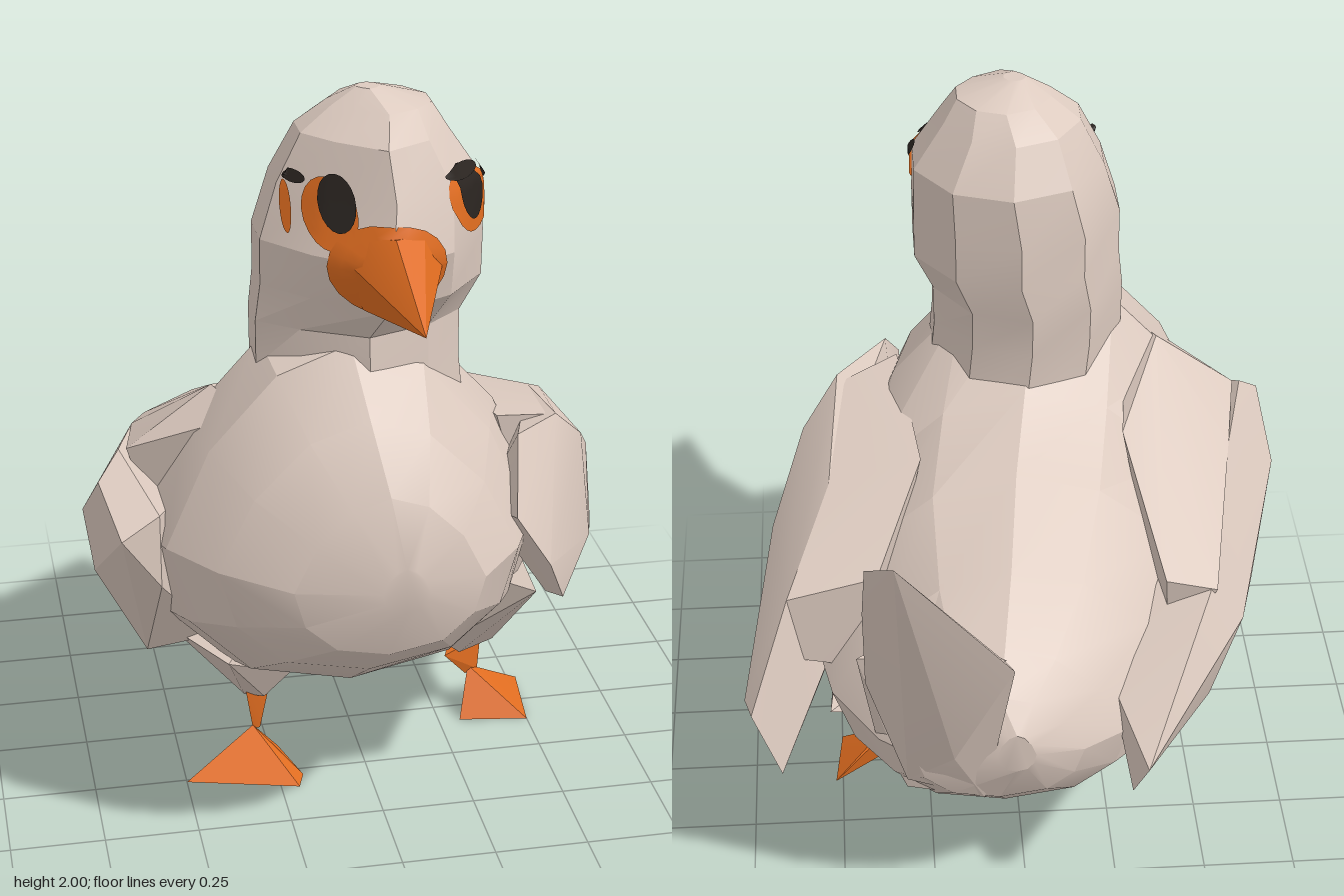
import * as THREE from 'three';
import { toCreasedNormals } from 'three/addons/utils/BufferGeometryUtils.js';
import { ConvexGeometry } from 'three/addons/geometries/ConvexGeometry.js';

const material = (name, color) => {
  const m = new THREE.MeshStandardMaterial({ color, side: THREE.DoubleSide });
  m.name = name;
  return m;
};

// Closed skin over a list of equal-length rings, turned so that it faces outwards
function loft(rings, crease) {
  const n = rings[0].length, pts = rings.flat(), idx = [];
  for (let r = 0; r < rings.length - 1; r++) {
    for (let i = 0; i < n; i++) {
      const a = r * n + i, b = r * n + (i + 1) % n;
      idx.push(a, b, b + n, a, b + n, a + n);
    }
  }
  const last = (rings.length - 1) * n;
  for (let i = 1; i < n - 1; i++) {
    idx.push(0, i + 1, i, last, last + i, last + i + 1);
  }
  let volume = 0;
  const cross = new THREE.Vector3();
  for (let i = 0; i < idx.length; i += 3) {
    volume += pts[idx[i]].dot(cross.crossVectors(pts[idx[i + 1]], pts[idx[i + 2]]));
  }
  if (volume < 0) idx.reverse();
  const g = new THREE.BufferGeometry().setFromPoints(pts);
  g.setIndex(idx);
  return toCreasedNormals(g, crease);
}

const hull = (pts) => toCreasedNormals(
  new ConvexGeometry(pts.map((p) => new THREE.Vector3(...p))), 0.35);

const ringOf = (n, f) => Array.from({ length: n }, (_, i) => f(i / n * Math.PI * 2));

export function createModel() {
  const duck = new THREE.Group();
  duck.name = 'duck';
  const feather = material('feather', 0xdccabf);
  const orange = material('orange', 0xdf6c20);
  const dark = material('dark', 0x2a2420);

  const add = (name, geometry, mat) => {
    const mesh = new THREE.Mesh(geometry, mat);
    mesh.name = name;
    duck.add(mesh);
    return mesh;
  };

  // Body: egg sections from chest to rump [z, centre x, half width, bottom, top]
  const body = [
    [0.86, -0.02, 0.06, 0.8, 0.92], [0.81, -0.05, 0.24, 0.66, 1.09],
    [0.7, -0.08, 0.38, 0.56, 1.25], [0.55, -0.1, 0.47, 0.45, 1.39],
    [0.35, -0.09, 0.53, 0.36, 1.42], [0.12, -0.04, 0.57, 0.29, 1.2],
    [-0.12, 0, 0.57, 0.26, 1.09], [-0.38, 0.03, 0.48, 0.27, 0.97],
    [-0.58, 0.06, 0.33, 0.36, 0.87], [-0.68, 0.08, 0.22, 0.46, 0.8],
    [-0.74, 0.04, 0.05, 0.6, 0.72],
  ].map(([z, cx, hw, lo, hi]) => ringOf(12, (t) => {
    const mid = lo + (hi - lo) * 0.45, c = Math.cos(t), s = Math.sin(t);
    const side = c > 0 ? s * (1 - 0.25 * c) : Math.sign(s) * Math.pow(Math.abs(s), 0.85);
    return new THREE.Vector3(cx + hw * side, mid + c * (c > 0 ? hi - mid : mid - lo), z);
  }));
  add('body', loft(body, 0.38), feather);

  // Neck and head: wedge-fronted sections [y, centre x, half width, back z, front z]
  const head = [
    [1.1, -0.04, 0.27, 0.12, 0.6], [1.3, -0.06, 0.27, 0.13, 0.6],
    [1.42, -0.06, 0.27, 0.11, 0.59], [1.52, -0.03, 0.29, 0.11, 0.68],
    [1.64, -0.03, 0.29, 0.11, 0.72], [1.78, -0.01, 0.265, 0.12, 0.66],
    [1.9, -0.02, 0.19, 0.19, 0.61], [1.96, 0, 0.13, 0.26, 0.52],
    [2.0, -0.03, 0.03, 0.37, 0.43],
  ].map(([y, cx, hw, back, front]) => ringOf(10, (t) => {
    const c = Math.cos(t), s = Math.sin(t), sharp = s > 0 ? 0.3 : 0.65;
    const wedge = c > 0 ? c * (1 - sharp) + (1 - Math.abs(s)) * sharp : c;
    return new THREE.Vector3(cx + hw * s, y,
      0.4 + wedge * (c > 0 ? front - 0.4 : 0.4 - back));
  }));
  const headMesh = add('head', loft(head, 0.3), feather);

  // Beak
  add('beak', hull([
    [0.01, 1.54, 0.9], [-0.02, 1.71, 0.7], [-0.08, 1.7, 0.65], [0.06, 1.7, 0.65],
    [-0.13, 1.64, 0.62], [0.11, 1.62, 0.63], [-0.09, 1.52, 0.65],
    [0.08, 1.5, 0.65], [0, 1.49, 0.7], [0, 1.63, 0.79],
  ]), orange);

  // Colour patches: ellipses laid onto the head along one axis (u = z or x)
  const ray = new THREE.Raycaster();
  function patch(name, mat, fromSide, u, y, ru, ry, lift) {
    const g = new THREE.RingGeometry(0.001, 1, 20, 5);
    g.scale(ru, ry, 1);
    const p = g.attributes.position;
    const dir = fromSide ? new THREE.Vector3(-1, 0, 0) : new THREE.Vector3(0, 0, -1);
    for (let i = 0; i < p.count; i++) {
      const a = u + (fromSide ? -p.getX(i) : p.getX(i)), b = y + p.getY(i);
      ray.set(fromSide ? new THREE.Vector3(2, b, a) : new THREE.Vector3(a, b, 2), dir);
      const hit = ray.intersectObject(headMesh)[0];
      const q = hit ? hit.point : new THREE.Vector3(fromSide ? 0.2 : a, b, fromSide ? a : 0.45);
      q.addScaledVector(dir, -lift);
      p.setXYZ(i, q.x, q.y, q.z);
    }
    g.computeVertexNormals();
    add(name, g, mat);
  }
  patch('beakBase', orange, false, -0.025, 1.62, 0.145, 0.115, 0.008);
  patch('leftEyeRing', orange, true, 0.522, 1.742, 0.076, 0.085, 0.007);
  patch('leftEye', dark, true, 0.525, 1.76, 0.045, 0.072, 0.011);
  patch('leftLash', dark, true, 0.525, 1.813, 0.055, 0.018, 0.014);
  patch('leftEyeCorner', dark, true, 0.425, 1.785, 0.03, 0.022, 0.011);
  patch('rightEyeRing', orange, false, -0.155, 1.74, 0.06, 0.083, 0.008);
  patch('rightEye', dark, false, -0.14, 1.768, 0.041, 0.066, 0.014);
  patch('rightEyeEdge', orange, false, -0.248, 1.735, 0.012, 0.06, 0.01);
  patch('rightEyeCorner', dark, false, -0.228, 1.808, 0.025, 0.015, 0.014);

  // Left wing, flaring from the shoulder, and the back feathers that join it
  add('leftWing', hull([
    [0.29, 0.96, 0.72], [0.38, 0.82, 0.72], [0.33, 1.11, 0.55], [0.47, 1.09, 0.4],
    [0.57, 0.98, 0.3], [0.66, 0.83, 0.05], [0.5, 1.0, 0], [0.62, 0.85, -0.31],
    [0.72, 0.66, -0.55], [0.74, 0.64, -0.46], [0.65, 0.43, -0.52], [0.55, 0.43, -0.15],
    [0.5, 0.5, 0.15], [0.46, 0.57, 0.4], [0.45, 0.66, 0.6], [0.68, 0.6, 0.05],
    [0.58, 0.72, 0.38], [0.3, 0.8, 0.3],
  ]), feather);
  add('leftShoulder', hull([
    [0.3, 1.12, 0.45], [0.46, 1.08, 0.38], [0.5, 1.0, 0], [0.62, 0.85, -0.31],
    [0.38, 0.91, -0.31], [0.25, 1.07, 0], [0.4, 0.6, -0.3], [0.6, 0.65, -0.31],
    [0.45, 0.65, 0.3],
  ]), feather);

  // Right wing, folded along the body
  add('rightWing', hull([
    [-0.66, 1.06, 0.34], [-0.6, 1.02, 0.1], [-0.72, 1.0, 0.4], [-0.75, 0.85, 0.24],
    [-0.73, 0.7, 0.3], [-0.68, 0.9, 0.55], [-0.58, 0.95, 0.52], [-0.58, 0.75, 0.52],
    [-0.6, 0.45, 0.3], [-0.4, 0.42, 0.2], [-0.6, 0.72, -0.3], [-0.67, 0.62, 0],
    [-0.52, 0.46, -0.3], [-0.5, 0.85, -0.35], [-0.3, 0.6, -0.76],
    [-0.27, 0.46, -0.68], [-0.22, 0.7, -0.5],
  ]), feather);
  add('rightShoulder', hull([
    [-0.64, 1.06, 0.34], [-0.42, 1.22, 0.34], [-0.3, 1.1, 0.05], [-0.6, 1.02, 0.1],
    [-0.38, 0.9, -0.36], [-0.52, 0.85, -0.34], [-0.5, 0.6, 0.34], [-0.4, 0.6, -0.3],
    [-0.35, 1.2, 0.5],
  ]), feather);

  // Upright tail with its broad root
  add('tail', hull([
    [0.34, 1.39, -0.9], [0.41, 1.3, -0.78], [0.42, 1.12, -0.72], [0.05, 1.0, -0.82],
    [0.06, 0.88, -0.64], [0.28, 0.84, -0.5], [0.42, 0.8, -0.6], [0.32, 0.5, -0.64],
    [0.12, 0.46, -0.68], [0.2, 0.66, -0.75],
  ]), feather);
  add('tailRoot', hull([
    [0.28, 0.87, -0.45], [0.44, 0.88, -0.6], [0.06, 0.88, -0.63], [0.4, 0.6, -0.56],
    [0.32, 0.42, -0.58], [0.1, 0.44, -0.66], [0.1, 0.6, -0.3], [0.42, 0.6, -0.35],
  ]), feather);

  // Thighs, shanks and webbed feet; the right leg is a step ahead
  add('leftThigh', hull([
    [0.25, 0.28, 0.12], [0.42, 0.21, 0], [0.31, 0.21, 0.06], [0.5, 0.42, 0.1],
    [0.44, 0.56, 0.38], [0.52, 0.45, -0.3], [0.2, 0.5, 0], [0.25, 0.3, -0.15],
  ]), feather);
  add('rightThigh', hull([
    [-0.2, 0.28, 0.2], [-0.32, 0.19, 0.14], [-0.27, 0.2, 0.18], [-0.4, 0.45, 0.42],
    [-0.52, 0.45, 0.2], [-0.42, 0.42, -0.1], [-0.2, 0.5, 0.1],
  ]), feather);
  add('leftShank', hull([
    [0.26, 0.22, 0.09], [0.39, 0.21, -0.02], [0.3, 0.21, -0.02],
    [0.34, 0.11, 0.01], [0.38, 0.11, -0.01], [0.36, 0.11, -0.02],
  ]), orange);
  add('rightShank', hull([
    [-0.32, 0.22, 0.17], [-0.25, 0.22, 0.15], [-0.29, 0.22, 0.08],
    [-0.3, 0.09, 0.16], [-0.28, 0.09, 0.16], [-0.29, 0.09, 0.14],
  ]), orange);
  add('leftFoot', hull([
    [0.31, 0, 0.08], [0.5, 0, 0.11], [0.52, 0.015, -0.1],
    [0.35, 0.13, 0], [0.39, 0.11, -0.01],
  ]), orange);
  add('rightFoot', hull([
    [-0.5, 0, 0.26], [-0.2, 0, 0.34], [-0.18, 0, 0.28], [-0.23, 0.02, 0.15],
    [-0.3, 0.1, 0.16],
  ]), orange);

  return duck;
}
